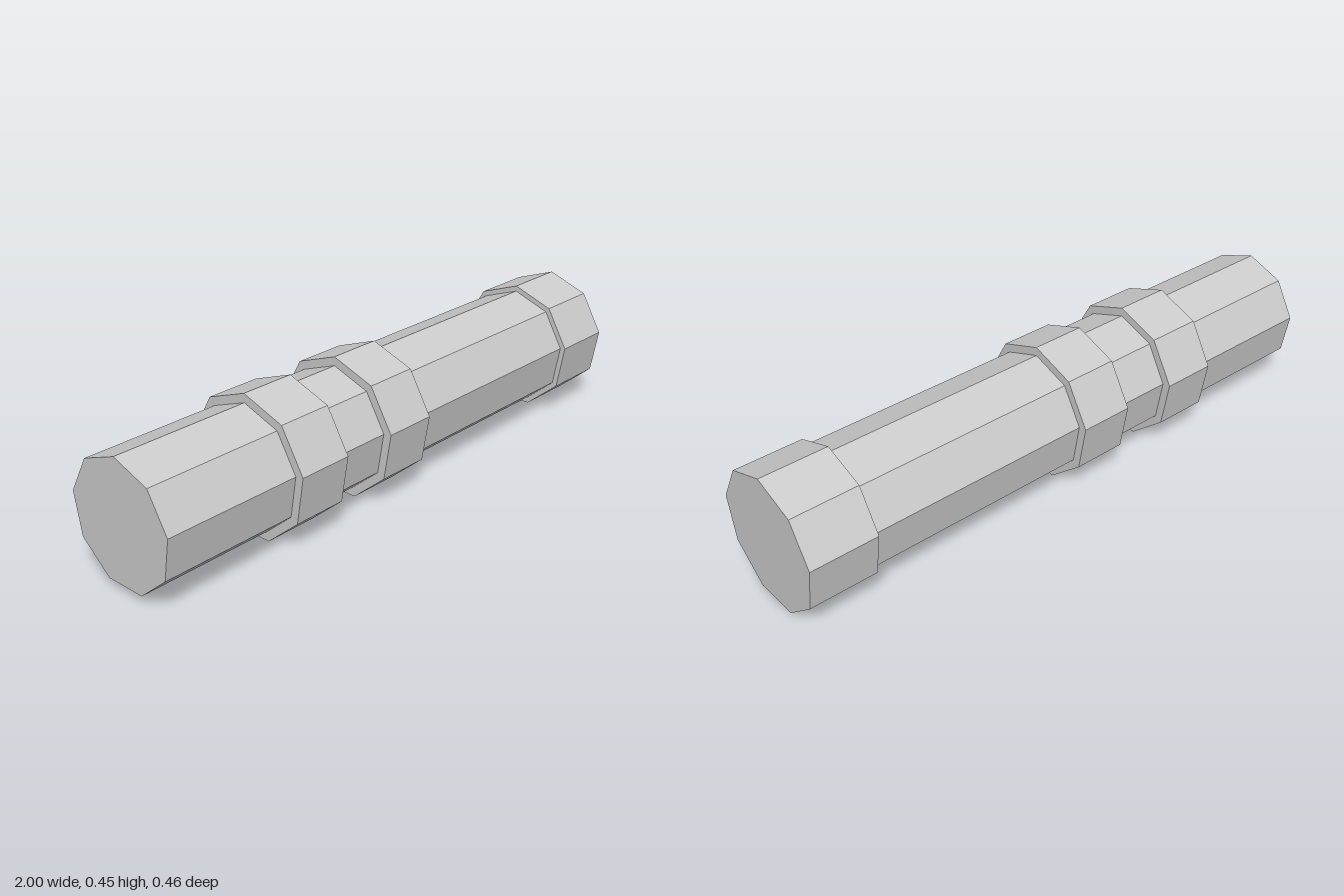
import * as THREE from 'three';

const SIDES = 9;
const AXIS_Y = 0.218;

export function createModel() {
  const group = new THREE.Group();
  group.name = 'handle';
  const material = new THREE.MeshStandardMaterial({ color: 0xcccccc, flatShading: true });

  // Nine-sided prism lying along x, one corner pointing straight up
  function prism(name, radius, x0, x1) {
    const geometry = new THREE.CylinderGeometry(radius, radius, x1 - x0, SIDES, 1, false, -Math.PI / 2);
    geometry.rotateZ(-Math.PI / 2);
    const mesh = new THREE.Mesh(geometry, material);
    mesh.name = name;
    mesh.position.set((x0 + x1) / 2, AXIS_Y, 0);
    group.add(mesh);
  }

  // Long shaft, ending just inside the end cap
  prism('shaft', 0.203, -1, 0.98);

  // Two raised grip bands
  prism('outerBand', 0.232, -0.54, -0.355);
  prism('innerBand', 0.232, -0.167, 0.015);

  // Slightly thicker end cap
  prism('endCap', 0.222, 0.777, 1);

  return group;
}
